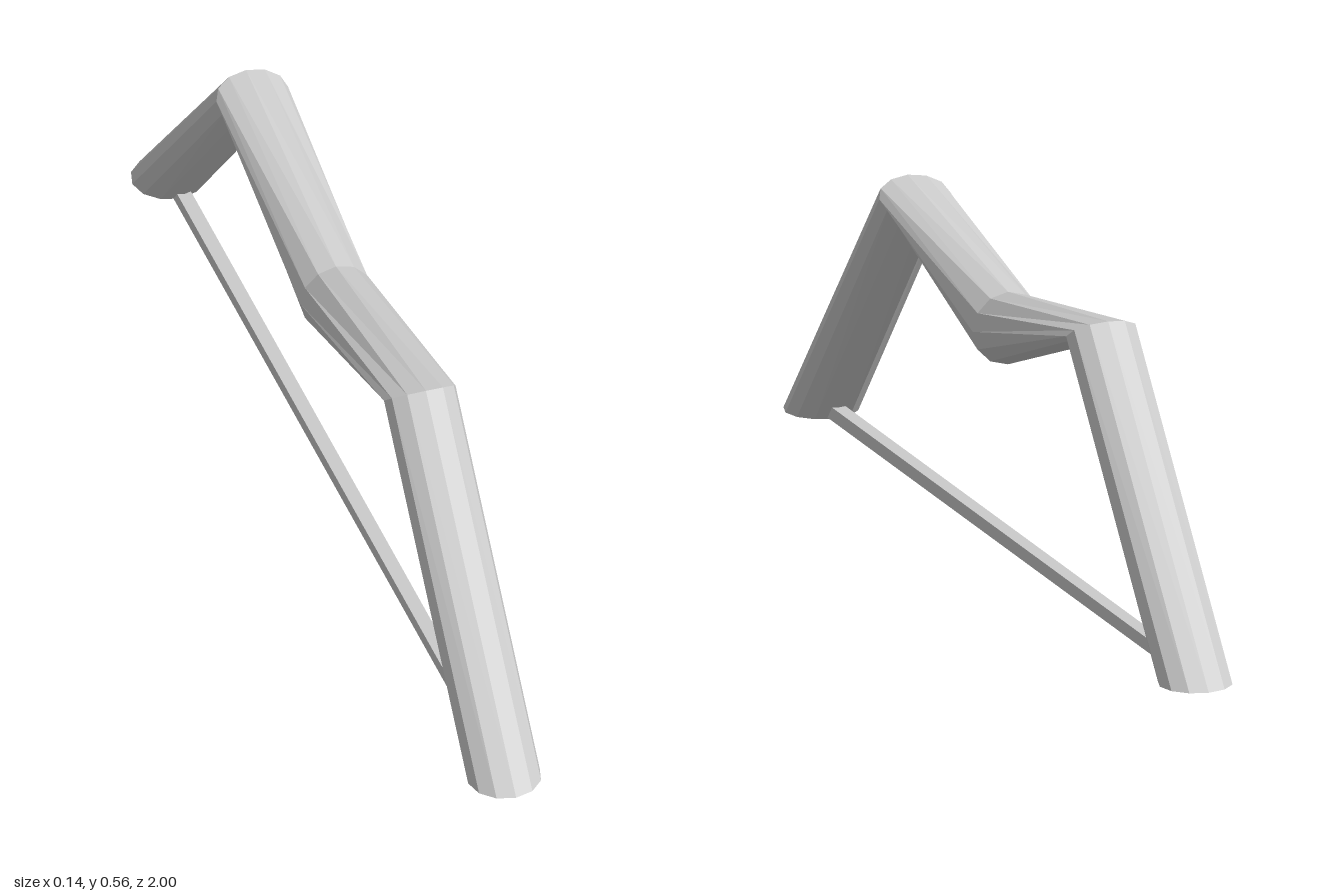
import * as THREE from 'three';

const SIDES = 12;
const R = 0.068;

// Each station along the bar: centre (z, y) and the half-axis (dz, dy) to its outer edge
const STATIONS = [
  { z: 0.932, y: 0, dz: 0.068, dy: 0 },
  { z: 0.465, y: 0.528, dz: 0.034, dy: 0.03 },
  { z: 0, y: 0.408, dz: 0, dy: 0.068 },
  { z: -0.465, y: 0.528, dz: -0.034, dy: 0.03 },
  { z: -0.932, y: 0, dz: -0.068, dy: 0 },
];

// Faceted bar lofted through mitred rings, closed with flat end caps
function bentBarGeometry() {
  const positions = [];
  const index = [];
  for (const s of STATIONS) {
    for (let i = 0; i < SIDES; i++) {
      const a = (i / SIDES) * Math.PI * 2;
      const c = Math.cos(a);
      positions.push(R * Math.sin(a), s.y + s.dy * c, s.z + s.dz * c);
    }
  }
  const last = (STATIONS.length - 1) * SIDES;
  for (let k = 0; k < last; k += SIDES) {
    for (let i = 0; i < SIDES; i++) {
      const j = (i + 1) % SIDES;
      const a = k + i, b = k + j, c = a + SIDES, d = b + SIDES;
      index.push(a, b, c, b, d, c);
    }
  }
  for (let i = 1; i < SIDES - 1; i++) {
    index.push(0, i + 1, i);
    index.push(last, last + i, last + i + 1);
  }
  const g = new THREE.BufferGeometry();
  g.setAttribute('position', new THREE.Float32BufferAttribute(positions, 3));
  g.setIndex(index);
  const flat = g.toNonIndexed();
  flat.computeVertexNormals();
  return flat;
}

export function createModel() {
  const group = new THREE.Group();
  group.name = 'bentHandle';
  const material = new THREE.MeshStandardMaterial({ color: 0xcccccc, flatShading: true });

  // Two sloping legs joined by a dipped grip
  const bar = new THREE.Mesh(bentBarGeometry(), material);
  bar.name = 'bentBar';
  group.add(bar);

  // Thin square rod tying the feet together
  const rod = new THREE.Mesh(new THREE.BoxGeometry(0.026, 0.025, 1.74), material);
  rod.name = 'tieRod';
  rod.position.y = 0.0155;
  group.add(rod);

  return group;
}
